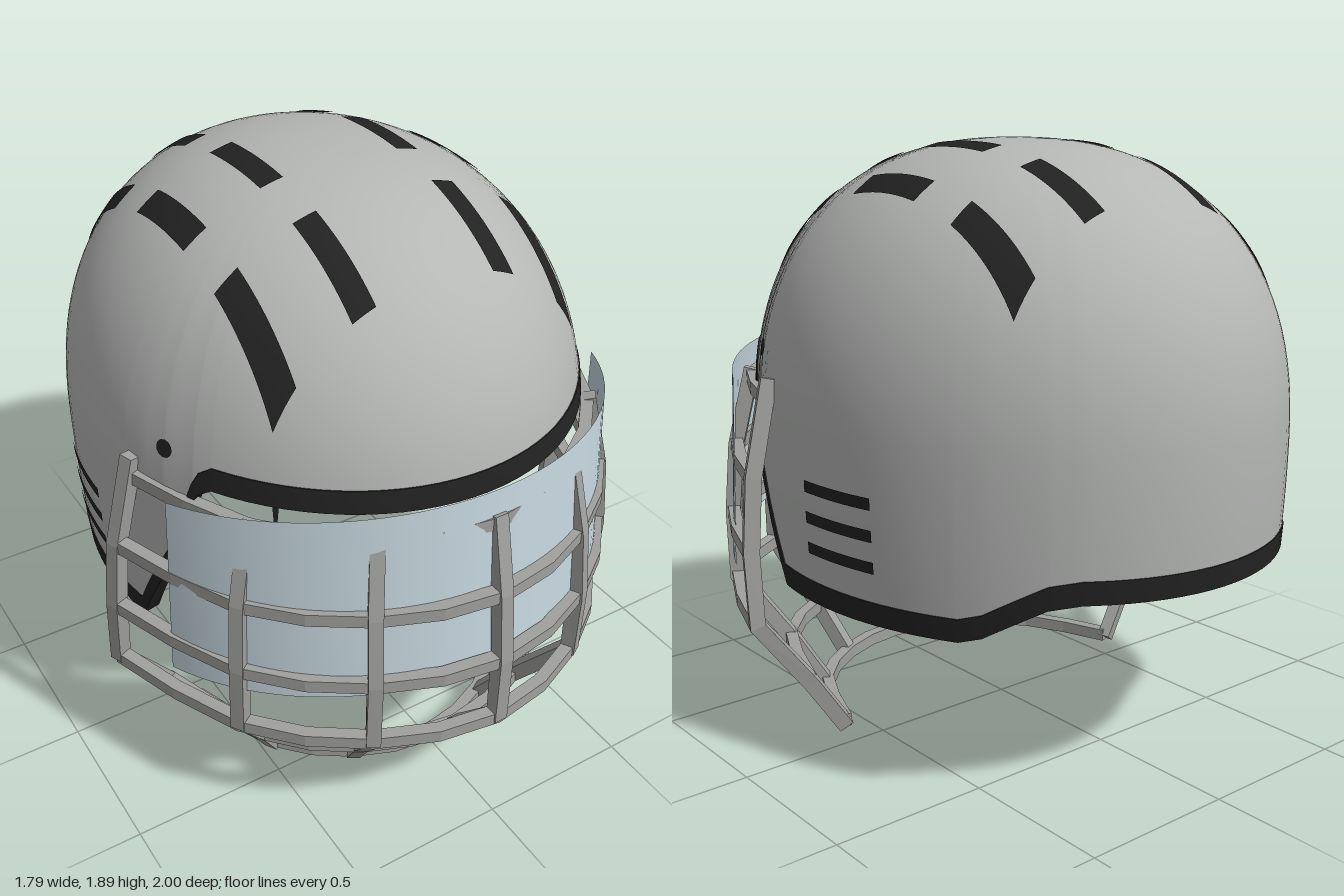
import * as THREE from 'three';
import { mergeVertices } from 'three/addons/utils/BufferGeometryUtils.js';

const mat = (name, color, side = THREE.FrontSide) => {
  const m = new THREE.MeshStandardMaterial({ color, side });
  m.name = name;
  return m;
};

// Dome dimensions: plan ellipse, superellipse height, centre
const RX = 0.8, RZ = 0.93, RY = 0.88, ZC = -0.07, YC = 1, N = 2.3, WALL = 0.05;

// Lower edge of the helmet as [z, y] from back to front
const EDGE = [[-1, 0.65], [-0.86, 0.65], [-0.8, 0.635], [-0.66, 0.54], [-0.6, 0.52], [0.13, 0.52],
  [0.2, 0.65], [0.3, 0.83], [0.39, 1.1], [0.41, 1.14], [0.45, 1.17], [0.86, 1.17]];

function edgeY(z) {
  for (let i = 1; i < EDGE.length; i++) {
    const [z0, y0] = EDGE[i - 1], [z1, y1] = EDGE[i];
    if (z <= z1) return y0 + (y1 - y0) * Math.max(0, (z - z0) / (z1 - z0));
  }
  return EDGE[EDGE.length - 1][1];
}

// Surface from a rule over a grid, u across and v along (both 0..1)
function grid(nu, nv, fn) {
  const pos = [], idx = [];
  for (let i = 0; i <= nu; i++) for (let j = 0; j <= nv; j++) pos.push(...fn(i / nu, j / nv));
  for (let i = 0; i < nu; i++) for (let j = 0; j < nv; j++) {
    const a = i * (nv + 1) + j, b = a + nv + 1;
    idx.push(a, b, b + 1, a, b + 1, a + 1);
  }
  const g = new THREE.BufferGeometry();
  g.setAttribute('position', new THREE.Float32BufferAttribute(pos, 3));
  g.setIndex(idx);
  const merged = mergeVertices(g, 1e-5);
  merged.computeVertexNormals();
  return merged;
}

// Radius factor of the dome at height y, inset by k
const radiusAt = (y, k) => y >= YC
  ? Math.pow(Math.max(0, 1 - Math.pow((y - YC) / (RY - k), N)), 1 / N)
  : 1 - 0.12 * (YC - y) ** 2;

// Point at plan angle t and height y, or height over (x, z), or side x at (y, z)
const wallPoint = (t, y, k) => {
  const r = radiusAt(y, k);
  return [(RX - k) * r * Math.sin(t), y, ZC + (RZ - k) * r * Math.cos(t)];
};
const topPoint = (x, z, k) => {
  const rho = Math.hypot(x / (RX - k), (z - ZC) / (RZ - k));
  return [x, YC + (RY - k) * Math.pow(Math.max(0, 1 - Math.pow(rho, N)), 1 / N), z];
};
const sidePoint = (s, y, z, k) => {
  const q = radiusAt(y, k) ** 2 - ((z - ZC) / (RZ - k)) ** 2;
  return [s * (RX - k) * Math.sqrt(Math.max(0, q)), y, z];
};

// Plan angles, including the corners of the edge line
const angles = [];
for (let i = 0; i <= 96; i++) angles.push((i / 96) * Math.PI * 2);
for (const [z] of EDGE.slice(1, -1)) {
  const t = Math.acos((z - ZC) / RZ);
  angles.push(t, Math.PI * 2 - t);
}
angles.sort((a, b) => a - b);
const COLS = angles.length - 1;
const angleAt = u => angles[Math.round(u * COLS)];
const edgeAt = t => edgeY(ZC + RZ * Math.cos(t));

// Dome skin from crown down to the trim
function dome(k) {
  return grid(COLS, 34, (u, v) => {
    const t = angleAt(u), end = edgeAt(t) + 0.07;
    const len = end >= YC ? Math.acos(Math.pow((end - YC) / (RY - k), N / 2)) : Math.PI / 2 + YC - end;
    const a = v * len;
    if (a >= Math.PI / 2) return wallPoint(t, YC + Math.PI / 2 - a, k);
    const r = Math.pow(Math.sin(a), 2 / N);
    return [(RX - k) * r * Math.sin(t), YC + (RY - k) * Math.pow(Math.cos(a), 2 / N), ZC + (RZ - k) * r * Math.cos(t)];
  });
}

// Rectangular bar along points, with an outward direction at each point
function bar(points, outs, halfWide, halfDeep) {
  const n = points.length;
  const corners = [[1, 1], [1, -1], [-1, -1], [-1, 1], [1, 1]];
  const g = grid(n + 1, 4, (u, v) => {
    const row = Math.round(u * (n + 1)), i = Math.min(n - 1, Math.max(0, row - 1));
    const cap = row === 0 || row === n + 1 ? 0 : 1;
    const T = points[Math.min(n - 1, i + 1)].clone().sub(points[Math.max(0, i - 1)]).normalize();
    const out = outs[i].clone().addScaledVector(T, -T.dot(outs[i])).normalize();
    const side = T.clone().cross(out);
    const [o, s] = corners[Math.round(v * 4)];
    return points[i].clone().addScaledVector(out, o * halfDeep * cap)
      .addScaledVector(side, s * halfWide * cap).toArray();
  }).toNonIndexed();
  g.computeVertexNormals();
  return g;
}

export function createModel() {
  const root = new THREE.Group();
  root.name = 'cagedHelmet';
  const shellMat = mat('shellGrey', 0xb5b7b5, THREE.DoubleSide);
  const black = mat('trimBlack', 0x222222, THREE.DoubleSide);
  const visorMat = mat('visorBlue', 0xc5d6de, THREE.DoubleSide);
  const metal = mat('cageMetal', 0xa0a09e);
  const add = (parent, name, geometry, material) => {
    const m = new THREE.Mesh(geometry, material);
    m.name = name;
    parent.add(m);
  };

  // Shell, outside and lining
  add(root, 'shell', dome(0), shellMat);
  add(root, 'lining', dome(WALL), shellMat);

  // Edge trim: outer band, inner band and underside
  const trim = new THREE.Group();
  trim.name = 'edgeTrim';
  root.add(trim);
  const band = k => grid(COLS, 2, (u, v) => wallPoint(angleAt(u), edgeAt(angleAt(u)) + 0.07 * (1 - v), k));
  const ledge = dy => grid(COLS, 1, (u, v) => {
    const t = angleAt(u);
    return wallPoint(t, edgeAt(t) + dy, -0.004 + v * (WALL + 0.008));
  });
  add(trim, 'trimOutside', band(-0.004), black);
  add(trim, 'trimInside', band(WALL + 0.004), black);
  add(trim, 'trimUnderside', ledge(0), black);
  add(trim, 'trimTop', ledge(0.07), black);

  // Vents, showing on both faces of the wall
  const vents = new THREE.Group();
  vents.name = 'vents';
  root.add(vents);
  for (const s of [-1, 1]) for (const k of [-0.005, WALL + 0.005]) {
    for (const x of [0.195, 0.445]) for (const [z0, z1] of [[0.25, 0.56], [-0.24, 0.07], [-0.68, -0.41]])
      add(vents, 'topVent', grid(4, 14, (u, v) => topPoint(s * (x + 0.075 * u), z0 + (z1 - z0) * v, k)), black);
    for (const y of [0.68, 0.775, 0.87])
      add(vents, 'earVent', grid(2, 8, (u, v) => sidePoint(s, y + 0.036 * u, -0.35 + 0.285 * v, k)), black);
    add(vents, 'screwHole', grid(2, 12, (u, v) => sidePoint(s,
      1.245 + 0.028 * u * Math.sin(v * Math.PI * 2), 0.29 + 0.028 * u * Math.cos(v * Math.PI * 2), k)), black);
  }

  // Curved visor, leaning out towards the bottom
  add(root, 'visor', grid(40, 4, (u, v) => {
    const w = 0.775 + 0.02 * v, depth = 0.51 + 0.045 * v, back = 0.39;
    const R = (w * w + depth * depth) / (2 * depth), half = Math.asin(w / R);
    const a = (u * 2 - 1) * half;
    const rise = (R * Math.cos(a) - (R - depth)) / depth;
    return [R * Math.sin(a), (1.14 + 0.07 * rise) * (1 - v) + (0.52 + 0.075 * rise) * v, back + rise * depth];
  }), visorMat);

  // Cage rings: height, half width, z at the ends, z at the front
  const cage = new THREE.Group();
  cage.name = 'faceCage';
  root.add(cage);
  const LEVELS = [[1.1, 0.775, 0.17, 0.895], [0.87, 0.845, 0.165, 0.95], [0.635, 0.865, 0.16, 0.975],
    [0.405, 0.865, 0.14, 0.975], [0.185, 0.7, 0.11, 0.78], [0.022, 0.585, 0.09, 0.645]];
  const ACROSS = [[-1, 0], [-0.785, 0.55], [-0.435, 0.87], [0, 1], [0.435, 0.87], [0.785, 0.55], [1, 0]];
  const UP = new THREE.Vector3(0, 1, 0);
  const rings = LEVELS.map(([y, w, z0, z1]) => {
    const curve = new THREE.CatmullRomCurve3(ACROSS.map(([a, f]) => new THREE.Vector3(a * w, y, z0 + (z1 - z0) * f)));
    const pts = [], outs = [];
    for (let i = 0; i <= 12; i++) {
      pts.push(curve.getPoint(i / 12));
      outs.push(curve.getTangent(i / 12).cross(UP).normalize());
    }
    return { pts, outs };
  });
  for (const { pts, outs } of rings) add(cage, 'crossBar', bar(pts, outs, 0.021, 0.02), metal);

  // Upright bars through the rings
  for (let c = 0; c <= 12; c += 2) {
    const pts = rings.map(r => r.pts[c].clone()), outs = rings.map(r => r.outs[c]);
    pts[0].y += c % 12 === 0 ? 0.07 : 0.025;
    pts[pts.length - 1].y = 0.01;
    add(cage, 'uprightBar', bar(pts, outs, 0.022, 0.025), metal);
  }
  return root;
}
